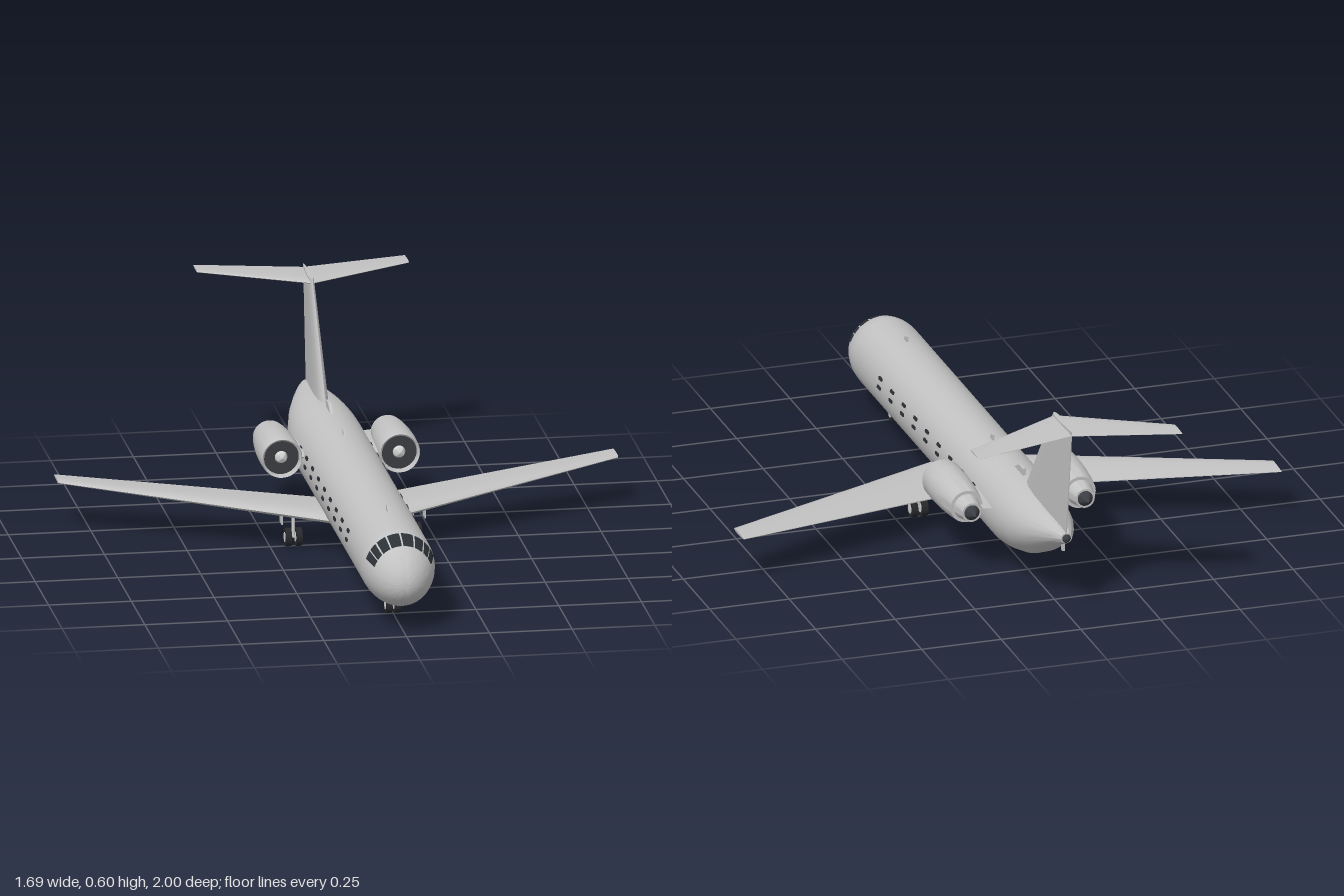
import * as THREE from 'three';
import { toCreasedNormals } from 'three/addons/utils/BufferGeometryUtils.js';

const V = (x, y, z) => new THREE.Vector3(x, y, z);
const rad = THREE.MathUtils.degToRad;

// Closed skin over a list of equal-length rings, wound outwards.
function loft(rings, crease = 0.6) {
  const n = rings[0].length, pts = rings.flat(), idx = [];
  for (let i = 0; i < rings.length - 1; i++) {
    for (let j = 0; j < n; j++) {
      const a = i * n + j, b = i * n + (j + 1) % n;
      idx.push(a, b, b + n, a, b + n, a + n);
    }
  }
  [0, rings.length - 1].forEach((r, k) => {
    const c = pts.length;
    pts.push(rings[r].reduce((s, p) => s.add(p), V(0, 0, 0)).divideScalar(n));
    for (let j = 0; j < n; j++) {
      const a = r * n + j, b = r * n + (j + 1) % n;
      idx.push(...(k ? [a, b, c] : [b, a, c]));
    }
  });
  let vol = 0;
  for (let i = 0; i < idx.length; i += 3) {
    vol += pts[idx[i]].dot(pts[idx[i + 1]].clone().cross(pts[idx[i + 2]]));
  }
  if (vol < 0) idx.reverse();
  const g = new THREE.BufferGeometry().setFromPoints(pts);
  g.setIndex(idx);
  return toCreasedNormals(g, crease);
}

// Aerofoil outline as [chord fraction, half-thickness fraction]
const half = [[0.03, 0.45], [0.12, 0.85], [0.3, 1], [0.6, 0.75], [1, 0.1]];
const foil = [[0, 0], ...half, ...half.map(([f, t]) => [f, -t]).reverse()];
const flatFoil = (x, y, le, te, t) => foil.map(([f, h]) => V(x, y + h * t, le + (te - le) * f));
const uprightFoil = (y, le, te, t) => foil.map(([f, h]) => V(h * t, y, le + (te - le) * f));

// Fuselage stations behind the cabin: z, centre y, half width, half height
const tail = [
  [-0.45, 0.174, 0.111, 0.115], [-0.52, 0.179, 0.108, 0.109], [-0.6, 0.188, 0.099, 0.097],
  [-0.68, 0.203, 0.083, 0.076], [-0.76, 0.222, 0.058, 0.05], [-0.82, 0.235, 0.036, 0.031],
  [-0.865, 0.241, 0.017, 0.016],
];
function station(z) {
  if (z > 0.82) {
    const t = Math.min(1, (z - 0.82) / 0.18), s = Math.sqrt(1 - t * t);
    return [z, 0.174 - 0.02 * t * t, 0.111 * s, 0.115 * s];
  }
  return [z, 0.174, 0.111, 0.115];
}
const onStation = ([z, cy, rx, ry], a, grow = 0) =>
  V(Math.cos(a) * (rx + grow), cy + Math.sin(a) * (ry + grow), z);

export function createModel() {
  const model = new THREE.Group();
  const mat = (name, color, side = THREE.FrontSide) => {
    const m = new THREE.MeshStandardMaterial({ color, side });
    m.name = name;
    return m;
  };
  const skin = mat('light grey skin', 0xc2c2c2);
  const glass = mat('dark glass', 0x2c3136, THREE.DoubleSide);
  const dark = mat('dark metal', 0x3a3d42);
  const rubber = mat('tyre rubber', 0x26282b);
  const hubGrey = mat('hub grey', 0xd2d2d2);
  const add = (name, geo, material, parent = model) => {
    const m = new THREE.Mesh(geo, material);
    m.name = name;
    parent.add(m);
    return m;
  };

  // Fuselage with rounded nose and upswept tail
  const stations = [];
  for (let i = 0; i <= 14; i++) stations.push(station(0.82 + 0.18 * Math.cos(i / 14 * Math.PI / 2)));
  stations[0] = station(0.9999);
  stations.push(...tail);
  const rings = stations.map(s => Array.from({ length: 48 }, (_, j) => onStation(s, j / 48 * Math.PI * 2)));
  add('fuselage', loft(rings, 0.9), skin);
  const tip = add('tailTip', new THREE.SphereGeometry(0.014, 16, 10), dark);
  tip.position.set(0, 0.24, -0.862);

  // Cockpit panes following the nose surface
  const pane = (a0, a1, z0, z1) => {
    const pts = [], idx = [], n = 5;
    for (let i = 0; i <= n; i++) for (let j = 0; j <= n; j++) {
      pts.push(onStation(station(z0 + (z1 - z0) * i / n), rad(a0 + (a1 - a0) * j / n), 0.002));
      if (i < n && j < n) {
        const a = i * (n + 1) + j, b = a + n + 1;
        idx.push(a, b, b + 1, a, b + 1, a + 1);
      }
    }
    const g = new THREE.BufferGeometry().setFromPoints(pts);
    g.setIndex(idx);
    g.computeVertexNormals();
    return g;
  };
  for (const [a, b] of [[20, 33], [35, 47], [50, 66], [69, 88.5]]) {
    add('cockpitPane', pane(a, b, 0.872, 0.928), glass);
    add('cockpitPane', pane(180 - b, 180 - a, 0.872, 0.928), glass);
  }

  // Cabin windows in two rows per side
  for (const s of [1, -1]) for (const y of [0.183, 0.21]) for (let i = 0; i < 9; i++) {
    const a = Math.asin((y - 0.174) / 0.115);
    const w = add('cabinWindow', new THREE.BoxGeometry(0.008, 0.009, 0.026), glass);
    w.position.set(s * Math.cos(a) * 0.111, y, 0.573 - i * 0.11);
    w.rotation.z = s * a;
  }

  // Tail fin and high tailplane
  add('tailFin', loft([uprightFoil(0.243, -0.467, -0.862, 0.018), uprightFoil(0.602, -0.745, -0.917, 0.008)]), skin);
  for (const s of [1, -1]) {
    add('tailplane', loft([flatFoil(0, 0.59, -0.745, -0.918, 0.007), flatFoil(s * 0.32, 0.588, -0.922, -1, 0.003)]), skin);
    add('wing', loft([
      flatFoil(s * 0.03, 0.106, 0.165, -0.105, 0.02),
      flatFoil(s * 0.1, 0.111, 0.127, -0.125, 0.017),
      flatFoil(s * 0.845, 0.149, -0.265, -0.357, 0.005),
    ]), skin);
  }

  // Rear engines
  const lathe = (pts) => {
    const g = new THREE.LatheGeometry(pts.map(([r, z]) => new THREE.Vector2(r, z)), 36);
    return toCreasedNormals(g.rotateX(Math.PI / 2), 0.6);
  };
  for (const s of [1, -1]) {
    const engine = new THREE.Group();
    engine.name = 'engine';
    engine.position.set(s * 0.178, 0.207, 0);
    model.add(engine);
    add('nacelle', lathe([[0, -0.455], [0.05, -0.455], [0.056, -0.41], [0.061, -0.35], [0.063, -0.29],
      [0.062, -0.225], [0.059, -0.215], [0.054, -0.219], [0.052, -0.25]]), skin, engine);
    add('nozzle', lathe([[0, -0.506], [0.03, -0.506], [0.034, -0.485], [0.041, -0.45]]), skin, engine);
    add('exhaustCone', lathe([[0, -0.541], [0.025, -0.504], [0, -0.503]]), dark, engine);
    const fan = add('fan', new THREE.CircleGeometry(0.054, 36), dark, engine);
    fan.position.z = -0.235;
    add('spinner', lathe([[0.019, -0.235], [0.014, -0.224], [0, -0.216]]), hubGrey, engine);
    add('pylon', loft([flatFoil(s * 0.08, 0.2, -0.24, -0.485, 0.011), flatFoil(s * 0.135, 0.205, -0.24, -0.485, 0.011)]), skin);
  }

  // Small aerials and intake on the fuselage
  const blade = (name, z, y, length, height, width) => {
    const shape = new THREE.Shape();
    shape.moveTo(0, 0).lineTo(length, 0).lineTo(length, height).lineTo(length * 0.55, height);
    const g = new THREE.ExtrudeGeometry(shape, { depth: width, bevelEnabled: false });
    g.translate(0, 0, -width / 2).rotateY(Math.PI / 2);
    add(name, g, skin).position.set(0, y, z);
  };
  blade('frontAerial', 0.67, 0.285, 0.03, 0.021, 0.006);
  blade('rearAerial', -0.145, 0.285, 0.03, 0.021, 0.006);
  blade('dorsalIntake', -0.38, 0.284, 0.085, 0.026, 0.01);
  blade('bellyAerial', 0.25, 0.062, 0.03, -0.02, 0.006);
  add('tailSkid', new THREE.BoxGeometry(0.008, 0.03, 0.016), skin).position.set(0, 0.205, -0.832);

  // Landing gear: twin wheels on a leg
  const gear = (name, x, z, r, gap, top) => {
    const g = new THREE.Group();
    g.name = name;
    g.position.set(x, r, z);
    model.add(g);
    const cyl = (n, rr, h, m) => add(n, new THREE.CylinderGeometry(rr, rr, h, 24).rotateZ(Math.PI / 2), m, g);
    for (const s of [1, -1]) {
      cyl('tyre', r, 0.018, rubber).position.x = s * gap;
      cyl('wheelHub', r * 0.55, 0.021, hubGrey).position.x = s * gap;
    }
    cyl('axle', 0.004, gap * 2, hubGrey);
    const h = top - r;
    add('leg', new THREE.CylinderGeometry(0.005, 0.005, h, 12), hubGrey, g).position.y = h / 2;
  };
  gear('noseGear', 0, 0.74, 0.024, 0.013, 0.08);
  for (const s of [1, -1]) {
    gear('mainGear', s * 0.18, 0, 0.028, 0.016, 0.115);
    add('gearDoor', new THREE.BoxGeometry(0.004, 0.04, 0.042), skin).position.set(s * 0.216, 0.092, 0);
  }
  return model;
}
